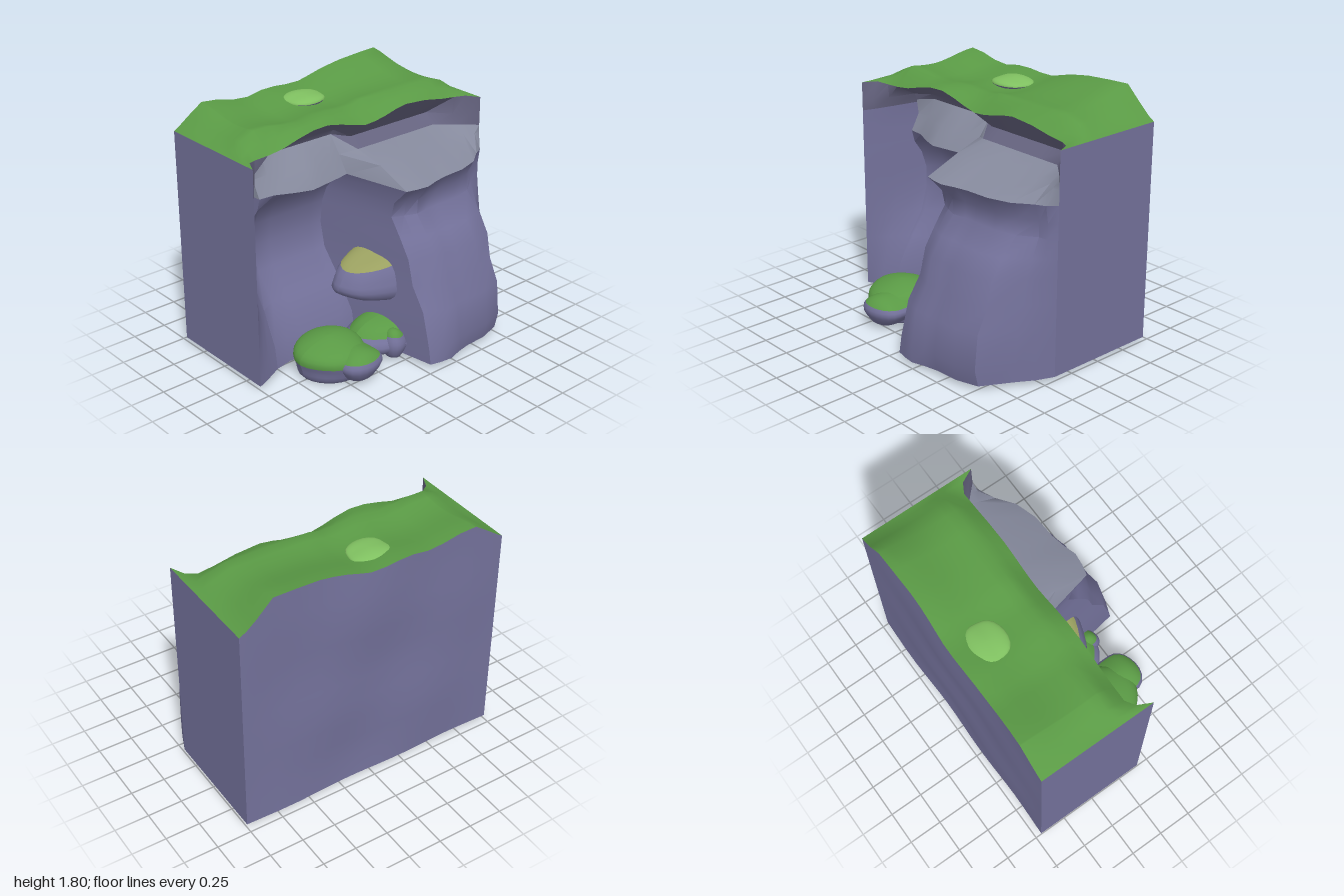
import * as THREE from 'three';
import { toCreasedNormals } from 'three/addons/utils/BufferGeometryUtils.js';

const ROCK = 0x73719a, MOSS = 0x5a9a45, DARK = 0x3a3040;
const lerp = THREE.MathUtils.lerp;

// Cliff face profiles from foot to brow, as [z, y]
const WALL = [
  [0.03, 0.03], [0.0, 0.2], [-0.13, 0.42], [-0.28, 0.6], [-0.34, 0.78], [-0.35, 0.95],
  [-0.34, 1.07], [-0.34, 1.17], [-0.34, 1.24], [-0.33, 1.36], [-0.3, 1.45], [-0.22, 1.52], [0.02, 1.6],
];
const RECESS = [
  [0.03, 0.03], [0.0, 0.2], [-0.15, 0.42], [-0.3, 0.6], [-0.34, 0.78], [-0.32, 0.95],
  [-0.27, 1.07], [-0.19, 1.16], [-0.03, 1.24], [-0.11, 1.36], [-0.22, 1.48], [-0.2, 1.52], [0.02, 1.6],
];
const BUTTRESS = [
  [0.72, 0.03], [0.73, 0.15], [0.69, 0.4], [0.6, 0.56], [0.56, 0.74], [0.47, 0.87],
  [0.36, 1.0], [0.36, 1.11], [0.45, 1.235], [0.19, 1.34], [-0.06, 1.39], [-0.14, 1.46], [0.02, 1.6],
];
const LIP = 8, SHELF = 10, BROW = 12;

// Columns across the cliff: [x, profile, blend from corner, z shift, brow height, back height, waist shift]
const COLUMNS = [
  [-1, WALL, 0, 0, 1.6, 1.6, 0],
  [-0.95, WALL, 0.15, 0, 1.6, 1.63, 0],
  [-0.88, WALL, 0.4, 0, 1.585, 1.68, 0],
  [-0.775, WALL, 0.8, 0, 1.59, 1.75, 0],
  [-0.765, RECESS, 0.82, -0.13, 1.59, 1.75, 0],
  [-0.65, RECESS, 1, -0.06, 1.605, 1.74, 0],
  [-0.52, RECESS, 1, 0, 1.64, 1.71, 0],
  [-0.4, RECESS, 1, 0.04, 1.665, 1.7, 0],
  [-0.28, RECESS, 1, 0.02, 1.67, 1.72, 0],
  [-0.16, RECESS, 1, 0, 1.645, 1.72, 0],
  [-0.06, RECESS, 1, -0.02, 1.615, 1.71, 0],
  [0.05, BUTTRESS, 1, -0.02, 1.59, 1.71, -0.08],
  [0.13, BUTTRESS, 1, 0, 1.595, 1.73, -0.05],
  [0.22, BUTTRESS, 1, 0.01, 1.61, 1.755, -0.02],
  [0.32, BUTTRESS, 1, -0.02, 1.635, 1.775, 0],
  [0.42, BUTTRESS, 1, -0.04, 1.65, 1.79, 0.03],
  [0.6, BUTTRESS, 1, -0.05, 1.635, 1.8, 0.04],
  [0.76, BUTTRESS, 1, -0.1, 1.605, 1.805, 0.05],
  [0.88, BUTTRESS, 0.52, -0.1, 1.59, 1.69, 0],
  [0.95, BUTTRESS, 0.22, 0, 1.595, 1.63, 0],
  [1, BUTTRESS, 0, 0, 1.6, 1.6, 0],
];
const N = COLUMNS.length - 1;
const LEDGE_START = 3;

// Point on the cliff face at a column and profile row
function facePoint(c, r) {
  const [x, profile, blend, shift, browY, , waist] = COLUMNS[c];
  if (r === BROW) return [x, browY, Math.abs(x) === 1 ? 0.16 : Math.abs(x) > 0.9 ? 0.06 : 0.02];
  const [z, y] = profile[r];
  // In the recess only the overhang shifts; the buttress shifts as a whole
  const moves = r < SHELF && (profile === BUTTRESS || r >= LIP);
  const bow = r < LIP ? waist * Math.sin(Math.PI * r / LIP) : 0;
  return [x, lerp(BUTTRESS[r][1], y, blend), lerp(0.16, z, blend) + (moves ? shift * blend : 0) + bow];
}

// Rear wall with shallow undulation
const backZ = (x, y) => -0.705 + (1 - x * x) * 0.009 * (Math.sin(x * 6 + y * 3) + Math.sin(y * 8 - x * 2));

// Top of the plateau: rises quickly from the brow, dips, then climbs to the rear ridge
function topPoint(c, t) {
  const [x, , , , browY, backY] = COLUMNS[c];
  const zf = facePoint(c, BROW)[2];
  const mid = Math.min(backY, 1.73);
  const rise = t < 0.2 ? lerp(browY, mid, t / 0.2) : lerp(mid, backY, (t - 0.2) / 0.8);
  const dip = -0.045 * Math.sin(Math.PI * t) ** 2 * (1 - x ** 8);
  return [x, rise + dip, lerp(zf, backZ(x, backY), t)];
}

// Grid surface from a point rule
function sheet(nu, nv, rule, crease = 0.75) {
  const pos = [], idx = [];
  for (let v = 0; v <= nv; v++) for (let u = 0; u <= nu; u++) pos.push(...rule(u, v));
  for (let v = 0; v < nv; v++) for (let u = 0; u < nu; u++) {
    const a = v * (nu + 1) + u, b = a + 1, d = a + nu + 1, e = d + 1;
    idx.push(a, b, e, a, e, d);
  }
  const g = new THREE.BufferGeometry();
  g.setAttribute('position', new THREE.Float32BufferAttribute(pos, 3));
  g.setIndex(idx);
  return toCreasedNormals(g, crease);
}

function add(parent, name, geometry, color) {
  const mesh = new THREE.Mesh(geometry, new THREE.MeshStandardMaterial({ color }));
  mesh.name = name;
  parent.add(mesh);
}

// Lumpy stone with a mossy cap; floor flattens its underside
function boulder(parent, name, [cx, cy, cz], [rx, ry, rz], { seed = 1, cap = 1.2, floor = -1, taper = 0, capColor = MOSS } = {}) {
  const group = new THREE.Group();
  group.name = name;
  const part = (label, start, length, color) => {
    const g = new THREE.SphereGeometry(1, 24, 10, 0, Math.PI * 2, start, length);
    const p = g.attributes.position;
    for (let i = 0; i < p.count; i++) {
      const x = p.getX(i), y = p.getY(i), z = p.getZ(i);
      const lump = 1 + 0.06 * Math.sin(3 * x + seed) + 0.05 * Math.sin(4 * z + 2 * seed) - 0.05 * Math.cos(5 * y + seed);
      const box = 1 / Math.pow(x ** 4 + y ** 4 + z ** 4, 0.1);
      const k = lump * lerp(1, box, 0.6);
      const squeeze = 1 + taper * x;
      p.setXYZ(i, cx + rx * k * x, Math.max(floor, cy + ry * k * y * squeeze), cz + rz * k * z * squeeze);
    }
    g.computeVertexNormals();
    add(group, label, g, color);
  };
  part('mossCap', 0, cap, capColor);
  part('stoneBody', cap, Math.PI - cap, ROCK);
  parent.add(group);
}

export function createModel() {
  const model = new THREE.Group();
  model.name = 'mossyCliff';

  // Front face in bands, split at the sharp lips
  const band = (left, right, from, to) =>
    sheet(right - left, to - from, (u, v) => facePoint(left + u, from + v));
  add(model, 'recessSideWall', band(0, LEDGE_START, 0, SHELF), ROCK);
  add(model, 'cliffFace', band(LEDGE_START, N, 0, LIP), ROCK);
  add(model, 'ledge', band(LEDGE_START, N, LIP, SHELF), 0x85899c);
  add(model, 'browUnderside', band(0, N, SHELF, BROW), 0x65637f);

  // Grassy plateau, rear wall and base
  add(model, 'grassTop', sheet(N, 10, (u, v) => topPoint(u, v / 10), 1), MOSS);
  add(model, 'rearWall', sheet(N, 10, (u, v) => {
    const [x, , , , , h] = COLUMNS[u];
    const y = lerp(h, 0.03, v / 10);
    return [x, y, backZ(x, y)];
  }), ROCK);
  add(model, 'base', sheet(N, 1, (u, v) => {
    const x = COLUMNS[u][0];
    return v ? facePoint(u, 0) : [x, 0.03, backZ(x, 0.03)];
  }), DARK);

  // Flat end walls
  for (const s of [-1, 1]) {
    add(model, s > 0 ? 'leftEndWall' : 'rightEndWall', sheet(1, 1, (u, v) => [
      s, v ? 1.6 : 0.03, (u === 0) === (s > 0) ? 0.16 : -0.705,
    ]), ROCK);
  }

  // Fallen boulders at the foot
  boulder(model, 'largeBoulder', [-0.48, 0.11, 0.25], [0.255, 0.155, 0.25], { seed: 1, cap: 1.45, floor: 0.005 });
  boulder(model, 'frontBoulder', [-0.39, 0.12, 0.43], [0.175, 0.11, 0.155], { seed: 2.4, cap: 1.15, floor: 0.02 });
  boulder(model, 'buriedBoulder', [0.15, 0.12, 0.25], [0.4, 0.135, 0.25], { seed: 4, cap: 1.2, floor: 0 });
  boulder(model, 'smallBoulder', [-0.03, 0.11, 0.4], [0.085, 0.11, 0.1], { seed: 3, cap: 0.9, floor: 0.02 });

  // Stone wedged against the buttress, and a stone set in the grass
  boulder(model, 'wedgedStone', [0.0, 0.52, 0.13], [0.28, 0.19, 0.24], { seed: 5, cap: 0.85, taper: 0.35, capColor: 0x9aa060 });
  boulder(model, 'plateauStone', [-0.09, 1.675, -0.47], [0.155, 0.045, 0.12], { seed: 2, cap: 1.5, capColor: 0x7fc060 });

  return model;
}
